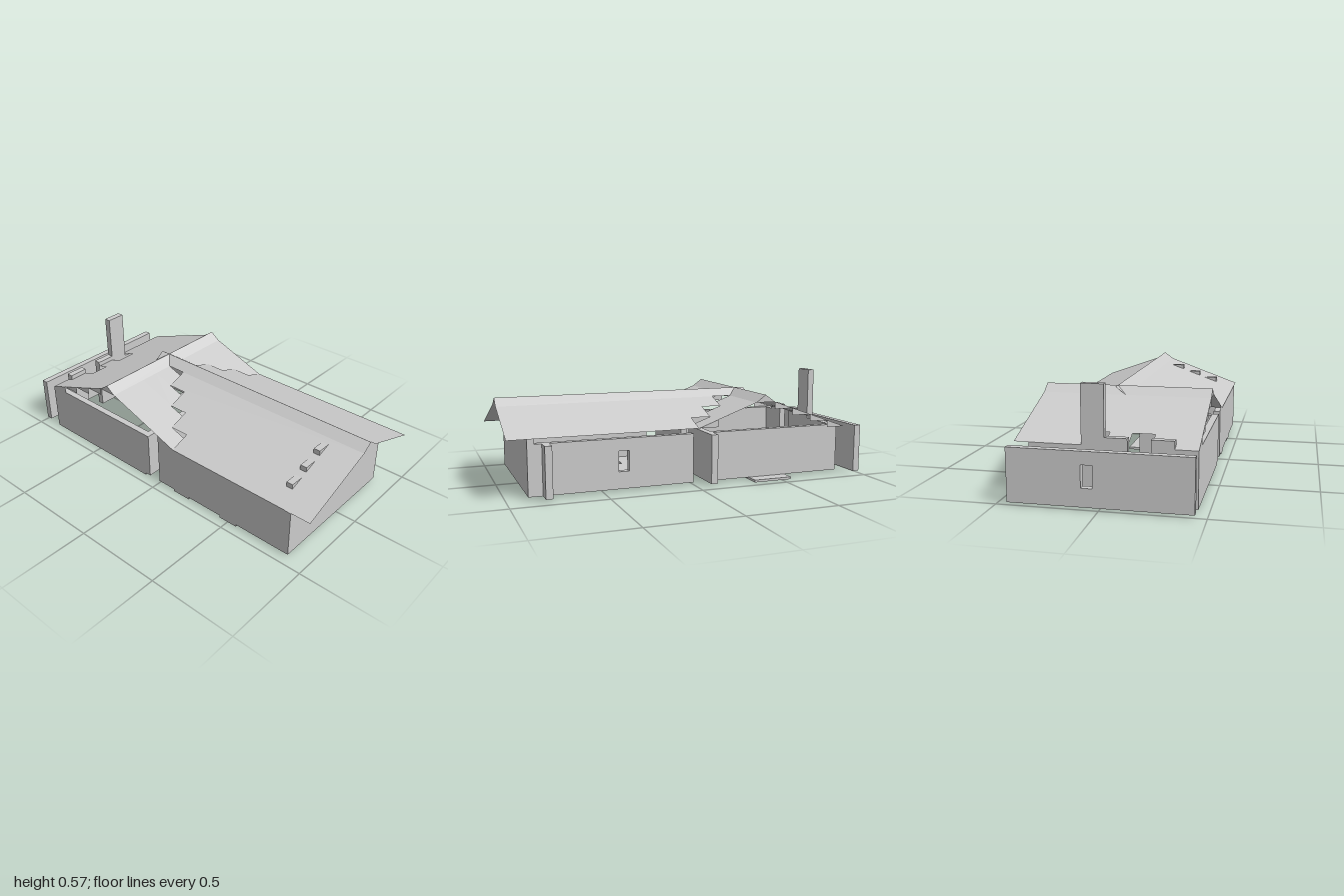
import * as THREE from 'three';
import { mergeGeometries } from 'three/addons/utils/BufferGeometryUtils.js';

const U = 1 / 9;          // plan module
const T = U / 3;          // wall thickness
const RISE = 0.04;        // roof rise per module
const FLOOR = 0.013, EAVE = 0.28, SHOULDER = 0.44, RIDGE = 0.48;

export function createModel() {
  const model = new THREE.Group();
  const stone = new THREE.MeshStandardMaterial({ color: 0xcccccc, flatShading: true });
  const sheet = new THREE.MeshStandardMaterial({ color: 0xcccccc, flatShading: true, side: THREE.DoubleSide });

  const add = (name, geometry, material = stone) => {
    const mesh = new THREE.Mesh(geometry, material);
    mesh.name = name;
    model.add(mesh);
    return mesh;
  };

  // Box given by its limits on each axis
  const block = (name, x0, x1, y0, y1, z0, z1) =>
    add(name, new THREE.BoxGeometry(x1 - x0, y1 - y0, z1 - z0)
      .translate((x0 + x1) / 2, (y0 + y1) / 2, (z0 + z1) / 2));
  const wall = (name, x0, x1, z0, z1, top = EAVE) => block(name, x0, x1, FLOOR, top, z0, z1);
  const slab = (name, x0, x1, z0, z1) => block(name, x0, x1, 0, FLOOR, z0, z1);

  // Upright slab of wall thickness from an outline, with an optional window centre
  const panel = (name, points, windowX) => {
    const shape = new THREE.Shape(points.map(p => new THREE.Vector2(...p)));
    if (windowX !== undefined) {
      const w = T * 0.75;
      shape.holes.push(new THREE.Path([[windowX - w, 0.105], [windowX - w, 0.215],
        [windowX + w, 0.215], [windowX + w, 0.105]].map(p => new THREE.Vector2(...p))));
    }
    return add(name, new THREE.ExtrudeGeometry(shape, { depth: T, bevelEnabled: false }));
  };
  const rect = (x0, x1, y1) => [[x0, FLOOR], [x1, FLOOR], [x1, y1], [x0, y1]];

  // Open polygon of 3 or 4 corners, turned to face upwards
  const facet = (...corners) => {
    const [a, b, c] = corners.map(p => new THREE.Vector3(...p));
    if (b.clone().sub(a).cross(c.clone().sub(a)).y < 0) corners.reverse();
    const g = new THREE.BufferGeometry();
    g.setAttribute('position', new THREE.Float32BufferAttribute(corners.flat(), 3));
    g.setIndex(corners.length === 4 ? [0, 1, 2, 0, 2, 3] : [0, 1, 2]);
    const flat = g.toNonIndexed();
    flat.computeVertexNormals();
    return flat;
  };
  const roof = (name, facets) => add(name, mergeGeometries(facets), sheet);

  // ---- Front house walls
  panel('frontGableWall', [[-4 * U, FLOOR], [3 * U + T, FLOOR], [3 * U + T, 0.34],
    [U, SHOULDER - 0.004], [U / 2, RIDGE - 0.006], [0, SHOULDER - 0.004], [-4 * U, EAVE - 0.002]])
    .position.z = 8 * U - T;
  wall('frontRightWall', -4 * U, -4 * U + T, 0, 8 * U - T);
  const windowWall = panel('frontLeftWall', rect(0, 8 * U - T, EAVE), 3.5 * U);
  windowWall.rotation.y = -Math.PI / 2;
  windowWall.position.x = 3 * U + T;
  wall('frontCornerPost', 3 * U + T, 4 * U, 7 * U, 7 * U + T);

  // Stepped wall tops that pierce the roof
  for (let i = 0; i < 3; i++) {
    const x = (i - 3) * U;
    block('steppedWallTop', x, x + U, EAVE, 0.347 + i * RISE, 7 * U, 7 * U + T);
  }

  // ---- Rear house walls
  wall('dividingWallRight', -4 * U, 0, -U, -U + T);
  wall('dividingWallLeft', U, 4 * U, -U, -U + T);
  wall('rearRightWall', -4 * U, -4 * U + T, -8 * U, -U);
  wall('rearLeftWall', 3 * U, 3 * U + T, -8 * U, -U);
  wall('rearEndWall', -4 * U, -3 * U, -8 * U, -8 * U + T);
  wall('rearEndWall', U, 3 * U, -8 * U, -8 * U + T);
  for (const x of [-3 * U, -U]) wall('rearWallBlock', x, x + U, -8 * U, -8 * U + T, 0.32);
  wall('chimney', 0, U, -8 * U, -8 * U + T, 0.572);
  panel('detachedBackWall', rect(-4 * U, 4 * U, EAVE), U / 2).position.z = -1;

  // ---- Floor slabs
  slab('mainFloor', -2 * U, U, U, 5 * U);
  slab('floorArm', -4 * U, -2 * U, U, 2 * U);
  slab('floorArm', -4 * U, -2 * U, 4 * U, 5 * U);
  slab('sideDoorstep', 2 * U, 4 * U, -5 * U, -3 * U);
  slab('rearFooting', -4 * U, -4 * U + T, -8 * U, -U);

  // ---- Main roof: ridge along z, each strip ending at the stepped valley
  const right = [], left = [], cross = [], back = [];
  for (let i = 0; i < 4; i++) {
    const z = (-2 - i) * U + 3 * U - 3 * U + i * 2 * U; // valley edge of strip i
    const yIn = SHOULDER - i * RISE, yOut = yIn - RISE;
    const xIn = -i * U, xOut = xIn - U;
    right.push(facet([xIn, yIn, z], [xIn, yIn, 1], [xOut, yOut, 1], [xOut, yOut, z]));
    if (i < 3) {
      const xa = U - xIn, xb = U - xOut;
      left.push(facet([xa, yIn, z], [xa, yIn, 1], [xb, yOut, 1], [xb, yOut, z]));
    }
  }
  roof('mainRoofRight', right);
  roof('mainRoofLeft', left);
  roof('mainRidge', [0, U].map(x =>
    facet([x, SHOULDER, -4 * U], [x, SHOULDER, 1], [U / 2, RIDGE, 1], [U / 2, RIDGE, -4 * U])));

  // ---- Cross roof: ridge along x, with triangular closures on the tile ends
  const tileEnd = (x, zHigh, zLow, y) =>
    facet([x, y, zHigh], [x, y - RISE, zLow], [x, y - RISE, zHigh]);
  for (let col = -4; col < 4; col++) {
    const x0 = col * U, x1 = x0 + U;
    // front slope, stepping down along the valleys
    if (col !== 0) {
      const n = col < 0 ? -col : col;
      const zEnd = (n - 3) * U;
      cross.push(facet([x0, SHOULDER, -3 * U], [x1, SHOULDER, -3 * U],
        [x1, SHOULDER - n * RISE, zEnd], [x0, SHOULDER - n * RISE, zEnd]));
      for (const x of [x0, x1]) cross.push(tileEnd(x, zEnd - U, zEnd, SHOULDER - (n - 1) * RISE));
    }
    // back slope, with two tiles missing at the eave
    const m = col === -2 || col === 0 ? 3 : 4;
    back.push(facet([x0, SHOULDER, -4 * U], [x1, SHOULDER, -4 * U],
      [x1, SHOULDER - m * RISE, (-4 - m) * U], [x0, SHOULDER - m * RISE, (-4 - m) * U]));
  }
  for (const x of [-4 * U, 4 * U]) {
    for (let i = 0; i < 4; i++) back.push(tileEnd(x, (-4 - i) * U, (-5 - i) * U, SHOULDER - i * RISE));
  }
  roof('crossRoofFront', cross);
  roof('crossRoofBack', back);

  const ridge = [];
  for (const z of [-4 * U, -3 * U]) {
    ridge.push(facet([-4 * U, SHOULDER, z], [4 * U, SHOULDER, z],
      [4 * U, RIDGE, -3.5 * U], [-4 * U, RIDGE, -3.5 * U]));
  }
  for (const x of [-4 * U, 4 * U]) {
    ridge.push(facet([x, SHOULDER, -4 * U], [x, SHOULDER, -3 * U], [x, RIDGE, -3.5 * U]));
  }
  roof('crossRidge', ridge);

  return model;
}
